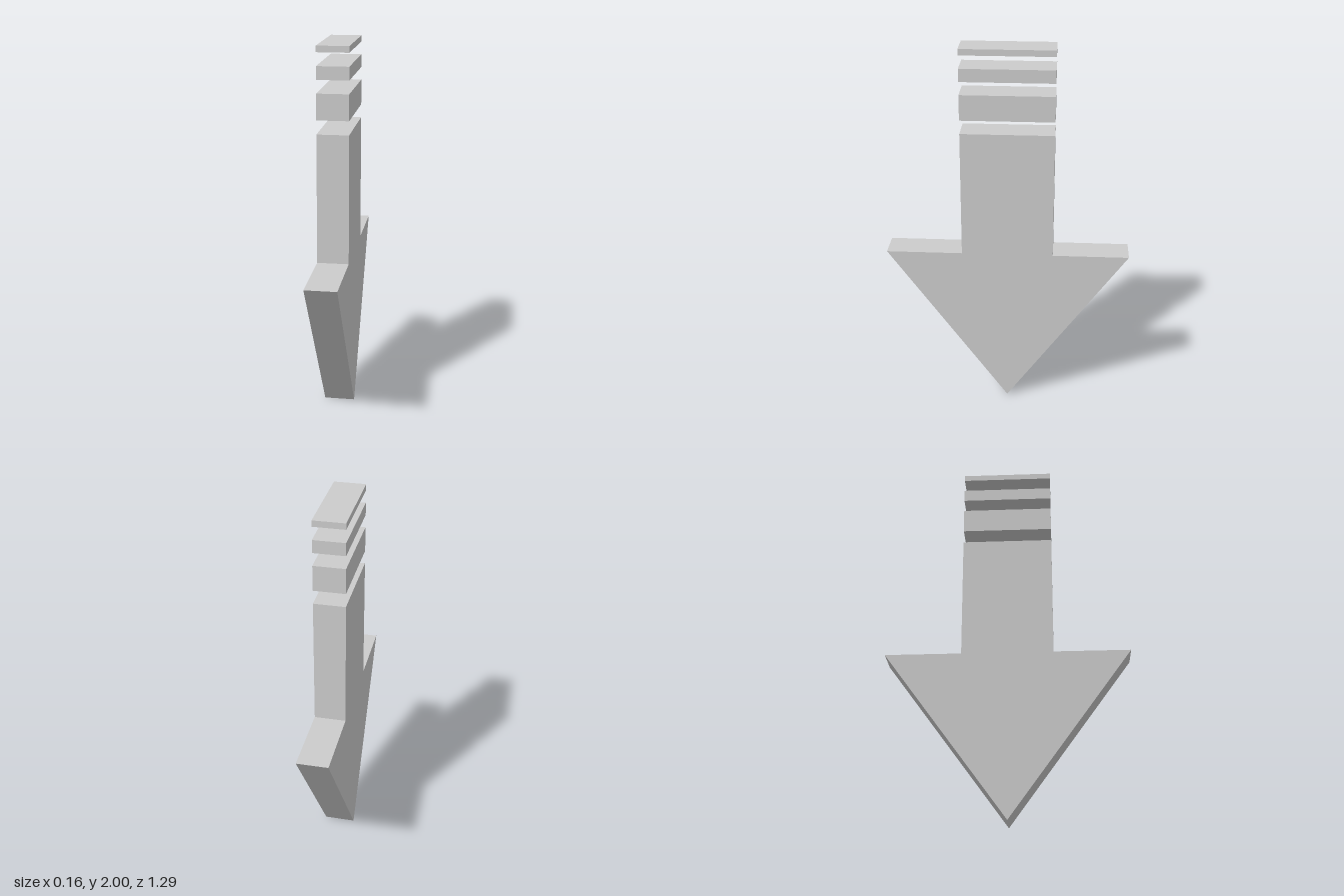
import * as THREE from 'three';

const THICK = 0.164; // depth along x
const SHAFT = 0.242; // half width of the shaft
const HEAD = 0.645;  // half width of the head

export function createModel() {
  const group = new THREE.Group();
  const material = new THREE.MeshStandardMaterial({ color: 0xcccccc, flatShading: true });

  // Arrow body: pointed head and shaft in one outline, lying in the z-y plane
  const outline = new THREE.Shape([
    [0, 0], [HEAD, 0.89], [SHAFT, 0.89], [SHAFT, 1.563],
    [-SHAFT, 1.563], [-SHAFT, 0.89], [-HEAD, 0.89],
  ].map(([x, y]) => new THREE.Vector2(x, y)));
  const bodyGeometry = new THREE.ExtrudeGeometry(outline, { depth: THICK, bevelEnabled: false });
  bodyGeometry.translate(0, 0, -THICK / 2).rotateY(Math.PI / 2);
  const body = new THREE.Mesh(bodyGeometry, material);
  body.name = 'arrowBody';
  group.add(body);

  // Tail bars: separate slabs that get thinner towards the top
  [[1.634, 1.767], [1.834, 1.901], [1.968, 2]].forEach(([bottom, top], i) => {
    const bar = new THREE.Mesh(new THREE.BoxGeometry(THICK, top - bottom, SHAFT * 2), material);
    bar.position.y = (bottom + top) / 2;
    bar.name = `tailBar${i + 1}`;
    group.add(bar);
  });

  return group;
}
